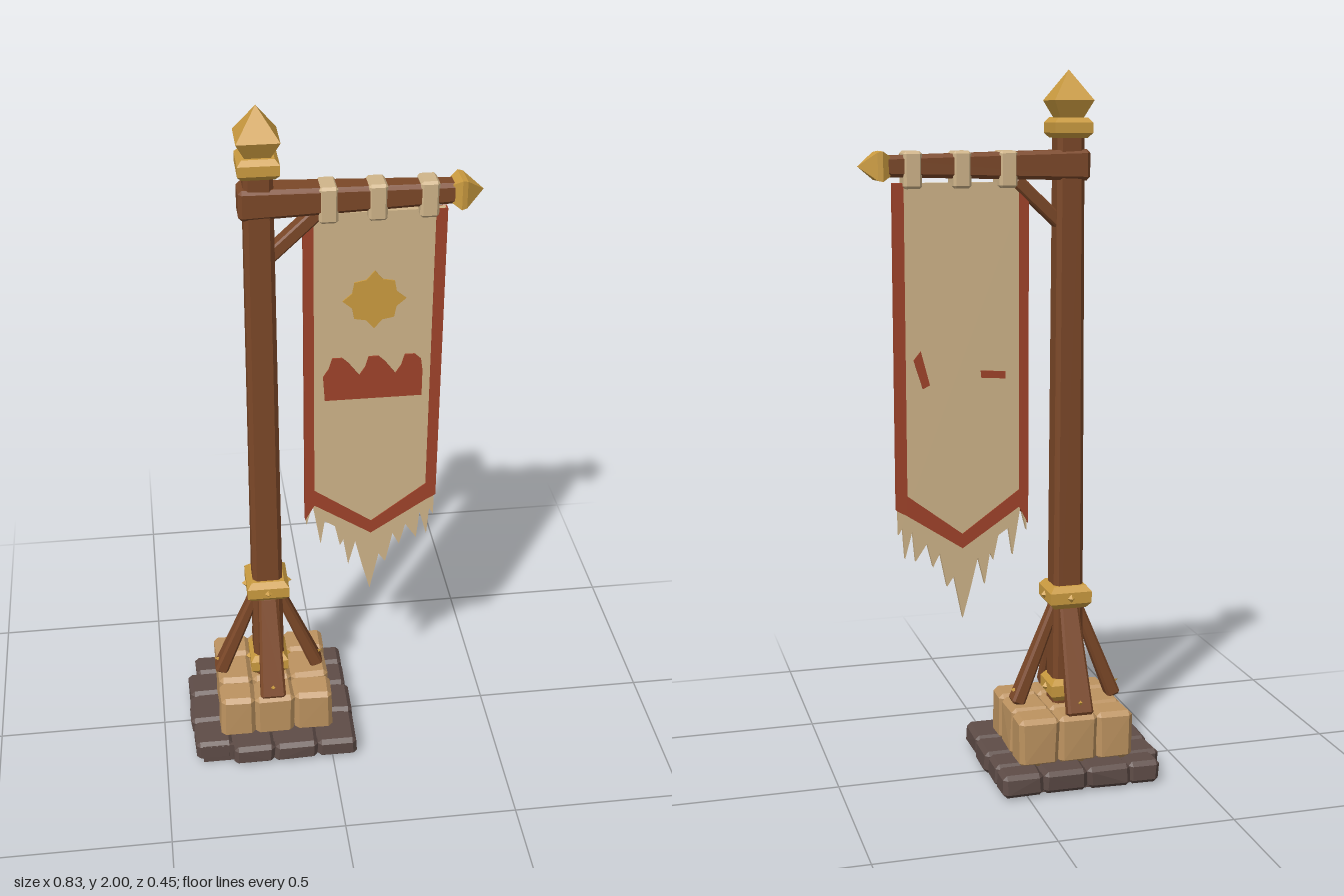
import * as THREE from 'three';
import { ConvexGeometry } from 'three/addons/geometries/ConvexGeometry.js';

const mat = (name, color) => {
  const m = new THREE.MeshStandardMaterial({ color });
  m.name = name;
  return m;
};

export function createModel() {
  const root = new THREE.Group();
  root.name = 'bannerStand';
  const darkStone = mat('darkStone', 0x5e4c47);
  const sandstone = mat('sandstone', 0xbd9360);
  const wood = mat('wood', 0x7c4828);
  const gold = mat('gold', 0xcc9c40);
  const cloth = mat('cloth', 0xd0b58a);
  const red = mat('redTrim', 0xa0432a);
  const POLE = -0.172, BAR = 1.745;

  let seed = 7;
  const jitter = (a) => {
    seed = (seed * 16807) % 2147483647;
    return (seed / 2147483647 - 0.5) * 2 * a;
  };

  const add = (parent, name, geo, material, x = 0, y = 0, z = 0) => {
    const m = new THREE.Mesh(geo, material);
    m.name = name;
    m.position.set(x, y, z);
    parent.add(m);
    return m;
  };

  // Box with bevelled edges; the top may be scaled and the corners nudged
  const block = (w, h, d, c, top = 1, wobble = 0) => {
    const pts = [];
    for (const sx of [-1, 1]) for (const sy of [-1, 1]) for (const sz of [-1, 1]) {
      const k = sy > 0 ? top : 1;
      const x = w / 2 * k + jitter(wobble), y = h / 2, z = d / 2 * k + jitter(wobble);
      pts.push(
        new THREE.Vector3(sx * x, sy * (y - c), sz * (z - c)),
        new THREE.Vector3(sx * (x - c), sy * y, sz * (z - c)),
        new THREE.Vector3(sx * (x - c), sy * (y - c), sz * z));
    }
    return new ConvexGeometry(pts);
  };

  // Square-sectioned turned shape from [half width, height] pairs
  const squareLathe = (profile) => {
    const pts = profile.map(([r, y]) => new THREE.Vector2(r * Math.SQRT2, y));
    const g = new THREE.LatheGeometry(pts, 4, Math.PI / 4).toNonIndexed();
    g.computeVertexNormals();
    return g;
  };

  // Stone blocks given by their x and z extents
  const stones = (name, list, y0, y1, material, c) => {
    const g = new THREE.Group();
    g.name = name;
    for (const [x0, x1, z0, z1] of list) {
      add(g, 'stone', block(x1 - x0, y1 - y0, z1 - z0, c, 1, 0.003), material,
        (x0 + x1) / 2, (y0 + y1) / 2, (z0 + z1) / 2);
    }
    root.add(g);
  };
  const slabs = [
    [-0.39, -0.3, -0.222, -0.14], [-0.415, -0.3, -0.14, -0.04],
    [-0.417, -0.3, -0.04, 0.082], [-0.41, -0.3, 0.082, 0.192],
    [-0.045, 0.072, -0.14, -0.04], [-0.045, 0.078, -0.04, 0.083]];
  for (const [a, b] of [[-0.3, -0.175], [-0.175, -0.045], [-0.045, 0.072]]) {
    slabs.push([a, b, -0.225, -0.14], [a, b, 0.083, 0.223]);
  }
  stones('lowerStep', slabs, 0.005, 0.07, darkStone, 0.012);
  add(root, 'lowerStepCore', new THREE.BoxGeometry(0.44, 0.06, 0.38), darkStone, -0.17, 0.03, 0);

  const blocks = [];
  for (const [a, b] of [[-0.33, -0.225], [-0.225, -0.11], [-0.11, 0.005]]) {
    for (const [c, d] of [[-0.158, -0.062], [-0.062, 0.062], [0.062, 0.157]]) blocks.push([a, b, c, d]);
  }
  stones('upperStep', blocks, 0.06, 0.202, sandstone, 0.013);

  // Pole, with fittings
  add(root, 'pole', block(0.09, 1.64, 0.084, 0.012, 0.86), wood, POLE, 1.01, 0);
  const ring = (name, y, h, half) =>
    add(root, name, squareLathe([[0, -h / 2], [half * 0.78, -h / 2], [half, -h / 4],
      [half, h / 4], [half * 0.78, h / 2], [0, h / 2]]), gold, POLE, y, 0);
  ring('footBand', 0.243, 0.065, 0.056);
  ring('braceBand', 0.522, 0.066, 0.061);
  ring('topBand', 1.845, 0.055, 0.054);
  for (const y of [0.243, 0.522]) for (let i = 0; i < 4; i++) {
    const a = i * Math.PI / 2, r = y < 0.4 ? 0.057 : 0.062;
    const stud = add(root, 'stud', new THREE.OctahedronGeometry(0.013), gold,
      POLE + Math.sin(a) * r, y, Math.cos(a) * r);
    stud.scale.setScalar(0.9);
  }
  add(root, 'topFinial', squareLathe([[0, 1.865], [0.03, 1.865], [0.056, 1.918], [0, 2]]), gold, POLE, 0, 0);

  // Four slanted foot braces with a gold spike on each
  for (let i = 0; i < 4; i++) {
    const g = new THREE.Group();
    g.name = 'footBrace';
    g.position.x = POLE;
    g.rotation.y = i * Math.PI / 2;
    const width = i % 2 ? 0.075 : 0.052;
    const leg = add(g, 'braceBeam', block(0.04, 0.31, width, 0.007, 0.75), wood, 0.09, 0.345, 0);
    leg.rotation.z = Math.atan2(0.108, 0.27);
    const spike = add(g, 'braceSpike', new THREE.ConeGeometry(0.02, 0.035, 4), gold, 0.148, 0.238, 0);
    spike.rotation.z = -1.2;
    root.add(g);
  }

  // Crossbar, its end finial and the small corner strut
  const bar = add(root, 'crossbar', block(0.084, 0.57, 0.086, 0.01, 0.68), wood, 0.06, BAR, 0);
  bar.rotation.z = -Math.PI / 2;
  const tip = add(root, 'barFinial', squareLathe([[0, 0], [0.026, 0], [0.04, 0.022], [0.037, 0.036], [0, 0.085]]),
    gold, 0.33, BAR, 0);
  tip.rotation.z = -Math.PI / 2;
  const strut = add(root, 'cornerStrut', block(0.036, 0.18, 0.045, 0.005), wood, -0.085, 1.645, 0);
  strut.rotation.z = -0.82;

  // Banner cloth with a tattered lower edge
  const shape = (pts) => new THREE.Shape(pts.map(([x, y]) => new THREE.Vector2(x, y)));
  const plate = (name, s, depth, material, z = 0) => {
    const g = new THREE.ExtrudeGeometry(s, { depth, bevelEnabled: false });
    g.translate(0, 0, -depth / 2);
    return add(root, name, g, material, 0, 0, z);
  };
  plate('bannerCloth', shape([
    [-0.053, 1.7], [-0.053, 0.72], [-0.035, 0.79], [-0.012, 0.65], [0, 0.73], [0.03, 0.71],
    [0.045, 0.64], [0.055, 0.66], [0.07, 0.57], [0.09, 0.65], [0.112, 0.56], [0.135, 0.475],
    [0.16, 0.6], [0.18, 0.57], [0.2, 0.67], [0.22, 0.63], [0.237, 0.7], [0.27, 0.65],
    [0.278, 0.74], [0.3, 0.66], [0.306, 0.75], [0.318, 0.73], [0.318, 1.7]]), 0.016, cloth);

  // Red trim down both sides and along the point
  plate('bannerTrim', shape([
    [-0.057, 1.7], [-0.057, 0.74], [-0.03, 0.79], [0.135, 0.68], [0.295, 0.785], [0.322, 0.8],
    [0.322, 1.7], [0.292, 1.7], [0.292, 0.84], [0.135, 0.722], [-0.03, 0.84], [-0.03, 1.7]]), 0.022, red);

  // Painted diamond and castle wall
  const diamond = [];
  for (let i = 0; i < 4; i++) {
    const c = Math.cos(i * Math.PI / 2), s = Math.sin(i * Math.PI / 2);
    for (const [u, v] of [[0.086, 0], [0.06, 0.022], [0.054, 0.054], [0.022, 0.06]]) {
      diamond.push([0.133 + u * c - v * s, 1.445 + u * s + v * c]);
    }
  }
  plate('diamondEmblem', shape(diamond), 0.006, gold, 0.009);
  const wall = [[0, 1.14], [0.27, 1.14], [0.27, 1.22]];
  for (const x of [0.235, 0.135, 0.035]) {
    wall.push([x + 0.03, 1.255], [x + 0.012, 1.272], [x - 0.015, 1.272], [x - 0.024, 1.24], [x - 0.04, 1.215]);
  }
  plate('wallEmblem', shape(wall), 0.006, red, 0.009);
  // Paint marks on the back
  plate('backMark', shape([[0.225, 1.15], [0.245, 1.14], [0.27, 1.22], [0.25, 1.245]]), 0.006, red, -0.009);
  plate('backMark', shape([[0.01, 1.16], [0.08, 1.165], [0.08, 1.185], [0.01, 1.18]]), 0.006, red, -0.009);

  // Cloth loops around the crossbar
  [[0.007, 0.082], [0.135, 0.076], [0.27, 0.07]].forEach(([x, d]) => {
    add(root, 'bannerLoop', block(0.05, 0.1, d, 0.007), cloth, x, 1.735, 0);
  });
  return root;
}
